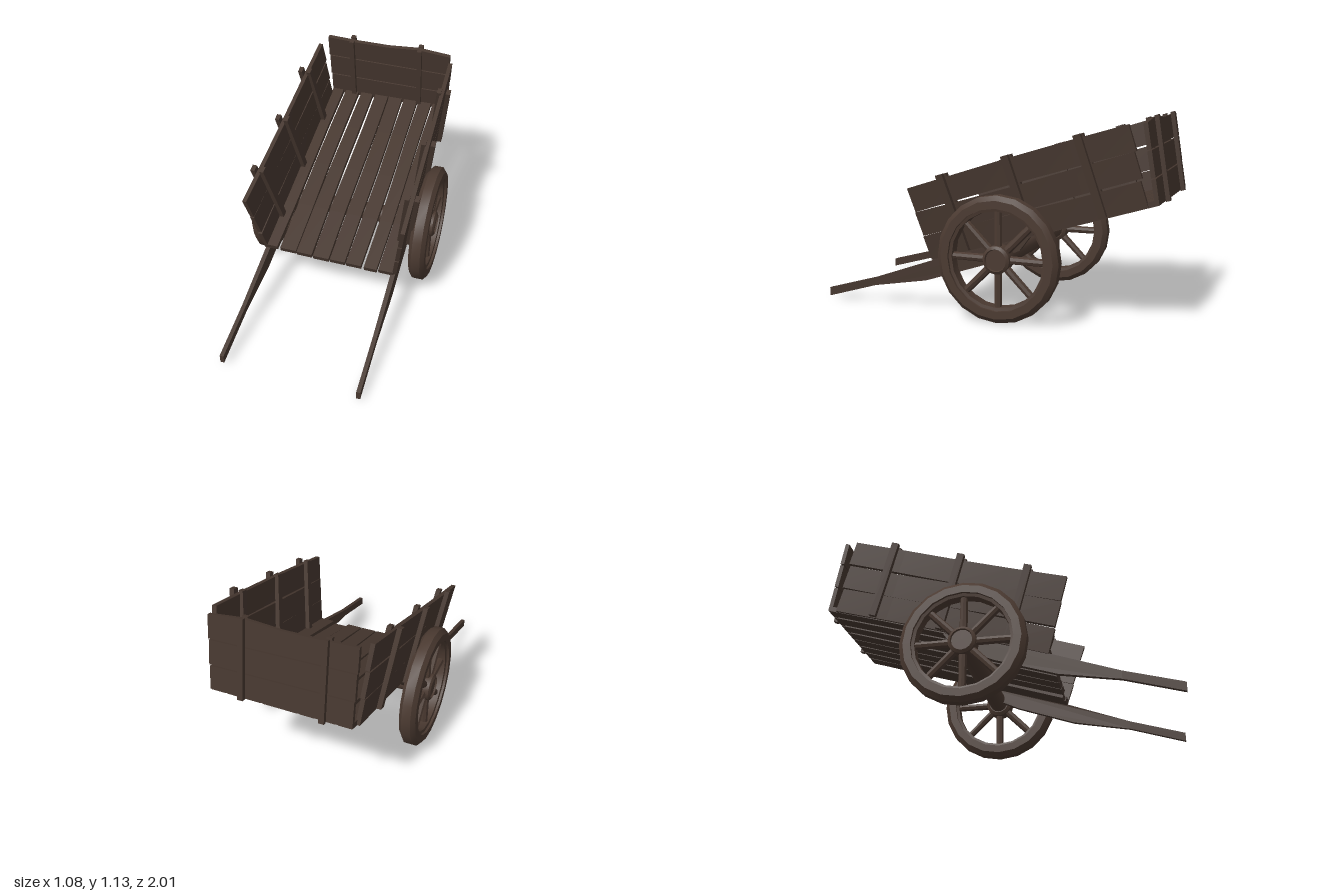
import * as THREE from 'three';
import { toCreasedNormals } from 'three/addons/utils/BufferGeometryUtils.js';

const lerp = THREE.MathUtils.lerp;

export function createModel() {
  const wood = new THREE.MeshStandardMaterial({ color: 0x46372f });
  wood.name = 'dark plank wood';
  const wheelWood = new THREE.MeshStandardMaterial({ color: 0x4b3a31 });
  wheelWood.name = 'warm wheel wood';

  const cart = new THREE.Group();
  cart.name = 'handCart';

  const add = (parent, name, geometry, material) => {
    const mesh = new THREE.Mesh(geometry, material);
    mesh.name = name;
    parent.add(mesh);
    return mesh;
  };

  // A unit box whose corners are moved by a rule, with hard edges.
  const board = (parent, name, [nx, ny, nz], rule) => {
    const g = new THREE.BoxGeometry(1, 1, 1, nx, ny, nz);
    const p = g.attributes.position;
    for (let i = 0; i < p.count; i++) p.setXYZ(i, ...rule(p.getX(i), p.getY(i), p.getZ(i)));
    const sharp = toCreasedNormals(g, 0.35);
    return add(parent, name, sharp, wood);
  };

  // Tilted body: y is height above the floor's underside, -z runs to the back.
  const body = new THREE.Group();
  body.name = 'body';
  body.position.set(0, 0.285, 0.3);
  body.rotation.x = 0.297;
  cart.add(body);

  // Floor boards: [left front, right front, left back, right back, droop, front offset]
  const floor = [
    [-0.40, -0.325, -0.39, -0.315, 0.005, 0],
    [-0.31, -0.21, -0.30, -0.21, 0, 0],
    [-0.205, -0.11, -0.19, -0.11, 0, 0.004],
    [-0.10, -0.002, -0.09, 0.0, -0.004, 0.005],
    [0.008, 0.10, 0.01, 0.10, -0.004, 0.004],
    [0.108, 0.20, 0.115, 0.205, -0.004, 0.005],
    [0.213, 0.29, 0.215, 0.30, -0.018, 0],
    [0.30, 0.39, 0.31, 0.395, -0.004, 0.004],
  ];
  floor.forEach(([a, b, c, d, droop, front], i) => {
    board(body, 'floorBoard', [1, 1, 4], (u, v, w) => {
      const t = 0.5 - w;
      const x = lerp(lerp(a, c, t), lerp(b, d, t), u + 0.5) + 0.003 * Math.sin(t * 6.3 + i);
      return [x, 0.015 + v * 0.03 + droop * (1 - t), front - t * (1.345 + front)];
    });
  });

  for (const side of [-1, 1]) {
    // Three flared side boards, opening wider towards the front.
    for (let k = 0; k < 3; k++) {
      board(body, 'sideBoard', [1, 1, 4], (u, v, w) => {
        const t = 0.5 - w;
        const h = 0.005 + k * 0.147 + (v + 0.5) * 0.141 + 0.004 * Math.sin(t * 5 + k * 2 + side);
        const x = side * (0.395 + lerp(0.145, 0.075, t) * h) + u * 0.024;
        return [x, h, -lerp(0.004 * k, 1.29 + 0.012 * k, t)];
      });
    }
    // Paired posts, one inside and one outside the boards.
    for (const s of [0.235, 0.636, 1.05]) {
      for (const offset of [-0.028, 0.026]) {
        board(body, offset < 0 ? 'innerSidePost' : 'outerSidePost', [1, 1, 1], (u, v, w) => {
          const h = lerp(offset < 0 ? 0.03 : 0.01, 0.46, v + 0.5);
          const flare = 0.145 - 0.03 * s;
          return [side * (0.395 + offset + flare * h) + u * 0.026, h, -s + w * 0.042];
        });
      }
    }
  }

  // Tailboard leaning back, with an uneven top edge.
  const lean = (h) => -(1.335 + 0.135 * h);
  const seams = [[0.0, 0.0], [0.155, 0.14], [0.305, 0.285], [0.448, 0.425]];
  for (let k = 0; k < 3; k++) {
    board(body, 'tailBoard', [4, 1, 1], (u, v, w) => {
      const t = u + 0.5;
      let lo = lerp(...seams[k], t) + 0.003;
      let hi = lerp(...seams[k + 1], t) - 0.004;
      if (k === 2) hi += [0, -0.005, -0.003, 0.016, 0][Math.round(t * 4)];
      const h = lerp(lo, hi, v + 0.5);
      return [0.005 + u * (0.80 + 0.008 * (k - 1)), h, lean(h) + w * 0.024];
    });
  }
  for (const x of [-0.235, 0.215]) {
    for (const offset of [-0.024, 0.024]) {
      board(body, offset > 0 ? 'innerTailPost' : 'outerTailPost', [1, 1, 1], (u, v, w) => {
        const h = lerp(offset > 0 ? 0.03 : -0.005, 0.448, v + 0.5);
        return [x + u * 0.03, h, lean(h) + offset + w * 0.024];
      });
    }
  }

  // Bent pulling shafts running under the floor: outline as (z, y).
  const outline = [
    [1, 0.01], [1, 0.06], [0.68, 0.152], [0.3, 0.287],
    [-0.29, 0.465], [-0.23, 0.385], [0, 0.28], [0.345, 0.165], [0.68, 0.105],
  ];
  for (const side of [-1, 1]) {
    const shape = new THREE.Shape(outline.map(([z, y]) =>
      new THREE.Vector2(-z, y + (side < 0 ? 0.012 * Math.max(z, 0) : 0))));
    const g = new THREE.ExtrudeGeometry(shape, { depth: 0.027, bevelEnabled: false });
    g.translate(0, 0, -0.0135);
    g.rotateY(Math.PI / 2);
    const p = g.attributes.position;
    for (let i = 0; i < p.count; i++) {
      const z = p.getZ(i);
      p.setX(i, p.getX(i) * (z > 0.5 ? 0.85 : 1) + side * (0.385 + 0.01 * Math.max(z, 0)));
    }
    g.computeVertexNormals();
    add(cart, side < 0 ? 'rightShaft' : 'leftShaft', g, wood);
  }

  // Axle and wheels.
  const running = new THREE.Group();
  running.name = 'runningGear';
  running.position.set(0, 0.352, -0.145);
  cart.add(running);

  const axle = new THREE.CylinderGeometry(0.054, 0.054, 0.96, 16);
  axle.rotateZ(Math.PI / 2);
  add(running, 'axle', toCreasedNormals(axle, 0.6), wheelWood);

  const lathe = (points, segments) => {
    const g = new THREE.LatheGeometry(points.map(([r, y]) => new THREE.Vector2(r, y)), segments);
    g.rotateZ(-Math.PI / 2);
    return toCreasedNormals(g, 0.5);
  };
  const rim = lathe([
    [0.265, -0.03], [0.282, -0.034], [0.282, -0.048], [0.325, -0.048], [0.351, -0.026],
    [0.351, 0.026], [0.325, 0.048], [0.282, 0.048], [0.282, 0.034], [0.265, 0.03], [0.265, -0.03],
  ], 20);
  const hub = lathe([
    [0, -0.046], [0.06, -0.046], [0.078, -0.036], [0.078, 0.036],
    [0.062, 0.046], [0.058, 0.036], [0, 0.036],
  ], 16);
  const spoke = new THREE.CylinderGeometry(0.021, 0.023, 0.22, 8);
  spoke.translate(0, 0.17, 0);
  const spokeGeometry = toCreasedNormals(spoke, 0.5);

  for (const side of [-1, 1]) {
    const wheel = new THREE.Group();
    wheel.name = side < 0 ? 'rightWheel' : 'leftWheel';
    wheel.position.x = side * 0.494;
    wheel.rotation.y = side < 0 ? Math.PI : 0;
    running.add(wheel);
    add(wheel, 'rim', rim, wheelWood);
    add(wheel, 'hub', hub, wheelWood);
    for (let i = 0; i < 8; i++) {
      add(wheel, 'spoke', spokeGeometry, wheelWood).rotation.x = i * Math.PI / 4;
    }
  }

  return cart;
}
